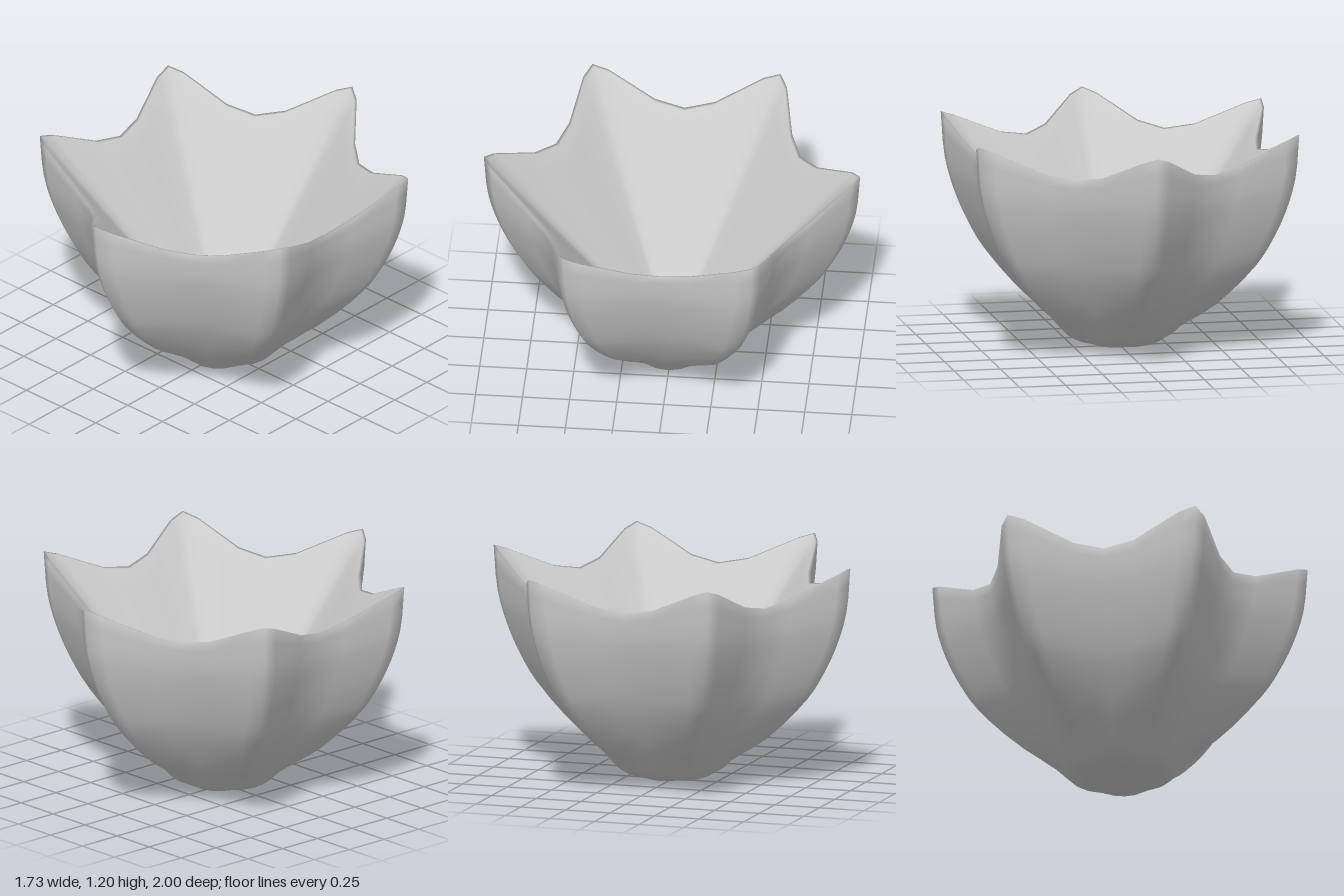
import * as THREE from 'three';

// Profiles (radius, height) from base centre to rim, at a star point and between two points
const RIDGE = [[0, 0], [0.1, 0.011], [0.19, 0.03], [0.255, 0.062], [0.33, 0.12], [0.53, 0.25],
  [0.76, 0.48], [0.85, 0.62], [0.925, 0.78], [0.978, 0.96], [1, 1.2]];
const VALLEY = [[0, 0], [0.11, 0.01], [0.21, 0.03], [0.275, 0.06], [0.335, 0.12], [0.44, 0.25],
  [0.57, 0.45], [0.64, 0.6], [0.69, 0.74], [0.73, 0.88], [0.75, 1.03]];

// Half of one star point: angle in degrees and how much of the ridge profile applies
const HALF = [[0, 1], [4.4, 0.83], [18.4, 0.17], [30, 0]];
const OUTER_STEPS = 30;
const INNER_STEPS = 12;
const LIP = 0.016;
const INNER_BASE = 0.03;

// Curved outer wall going up, a thin lip, then a straight funnel down to the centre
function wallProfile(points) {
  const curve = new THREE.CatmullRomCurve3(points.map(([r, y]) => new THREE.Vector3(r, y, 0)));
  const rows = curve.getPoints(OUTER_STEPS);
  const rim = rows[OUTER_STEPS];
  const lip = new THREE.Vector3(rim.x - LIP, rim.y - 0.006, 0);
  const centre = new THREE.Vector3(0, INNER_BASE, 0);
  for (let i = 0; i <= INNER_STEPS; i++) rows.push(lip.clone().lerp(centre, i / INNER_STEPS));
  return rows;
}

function createBowlGeometry() {
  const ridge = wallProfile(RIDGE), valley = wallProfile(VALLEY);

  // Columns around the whole star
  const columns = [];
  for (let k = 0; k < 6; k++) {
    for (const [a, w] of HALF) columns.push([k * 60 + a, w]);
    for (const [a, w] of HALF.slice(1, -1).reverse()) columns.push([k * 60 + 60 - a, w]);
  }

  const n = columns.length, positions = [], index = [];
  ridge.forEach((p, j) => {
    for (const [deg, w] of columns) {
      const q = valley[j].clone().lerp(p, w);
      const a = THREE.MathUtils.degToRad(deg);
      positions.push(q.x * Math.sin(a), q.y, q.x * Math.cos(a));
    }
  });
  const last = ridge.length - 2;
  for (let j = 0; j <= last; j++) {
    for (let i = 0; i < n; i++) {
      const a = j * n + i, b = j * n + (i + 1) % n;
      // The first and last rows collapse to the centre
      if (j > 0) index.push(a, b, b + n);
      if (j < last) index.push(a, b + n, a + n);
    }
  }
  const geometry = new THREE.BufferGeometry();
  geometry.setAttribute('position', new THREE.Float32BufferAttribute(positions, 3));
  geometry.setIndex(index);
  geometry.computeVertexNormals();
  return geometry;
}

export function createModel() {
  const group = new THREE.Group();
  group.name = 'starBowl';
  const material = new THREE.MeshStandardMaterial({ color: 0xcccccc });
  const bowl = new THREE.Mesh(createBowlGeometry(), material);
  bowl.name = 'bowl';
  group.add(bowl);
  return group;
}
